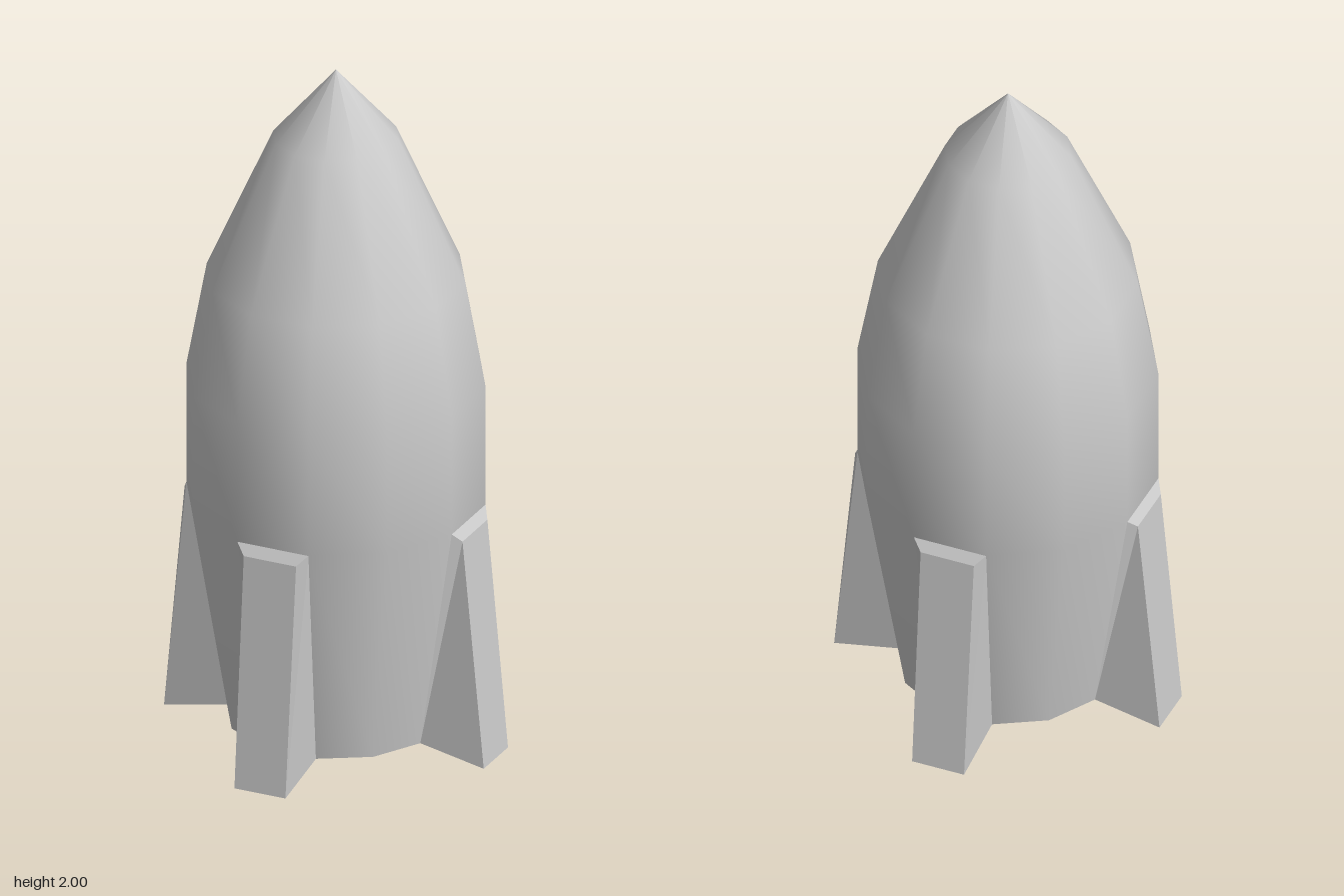
import * as THREE from 'three';

const SIDES = 12;
const HALF = Math.PI / SIDES;
const R_MID = 0.42, R_BASE = 0.306, Y_BASE = 0.04, Y_FIN = 0.71;

// Fin wedge growing out of one hull facet: rows of [distance, height, half width]
function finGeometry() {
  const rows = [
    [R_MID * Math.cos(HALF), Y_FIN, R_MID * Math.sin(HALF)],
    [0.425, 0.68, 0.08],
    [0.489, 0, 0.078],
    [R_BASE * Math.cos(HALF), Y_BASE, R_BASE * Math.sin(HALF)],
  ];
  const left = rows.map(([d, y, h]) => [-h, y, d]);
  const right = rows.map(([d, y, h]) => [h, y, d]);
  const pos = [];
  const quad = (a, b, c, d) => pos.push(...a, ...b, ...c, ...a, ...c, ...d);
  for (let i = 0; i < 3; i++) quad(left[i], left[i + 1], right[i + 1], right[i]);
  quad(...right);
  quad(...left.slice().reverse());
  const g = new THREE.BufferGeometry();
  g.setAttribute('position', new THREE.Float32BufferAttribute(pos, 3));
  g.computeVertexNormals();
  return g;
}

export function createModel() {
  const group = new THREE.Group();
  const smooth = new THREE.MeshStandardMaterial({ color: 0xcccccc });
  const flat = new THREE.MeshStandardMaterial({ color: 0xcccccc, flatShading: true });

  // Hull with pointed nose
  const profile = [
    [R_BASE, Y_BASE], [R_MID, Y_FIN], [R_MID, 1.07], [0.363, 1.38], [0.176, 1.8], [0, 2],
  ].map(([r, y]) => new THREE.Vector2(r, y));
  const hull = new THREE.Mesh(new THREE.LatheGeometry(profile, SIDES), smooth);
  hull.name = 'hull';
  group.add(hull);

  // Flat underside
  const base = new THREE.Mesh(new THREE.CircleGeometry(R_BASE, SIDES), flat);
  base.name = 'underside';
  base.rotation.x = Math.PI / 2;
  base.position.y = Y_BASE;
  group.add(base);

  // Four fins, each on a facet of the hull
  const finGeo = finGeometry();
  for (let i = 0; i < 4; i++) {
    const fin = new THREE.Mesh(finGeo, flat);
    fin.name = `fin${i + 1}`;
    fin.rotation.y = HALF + i * Math.PI / 2;
    group.add(fin);
  }
  return group;
}
